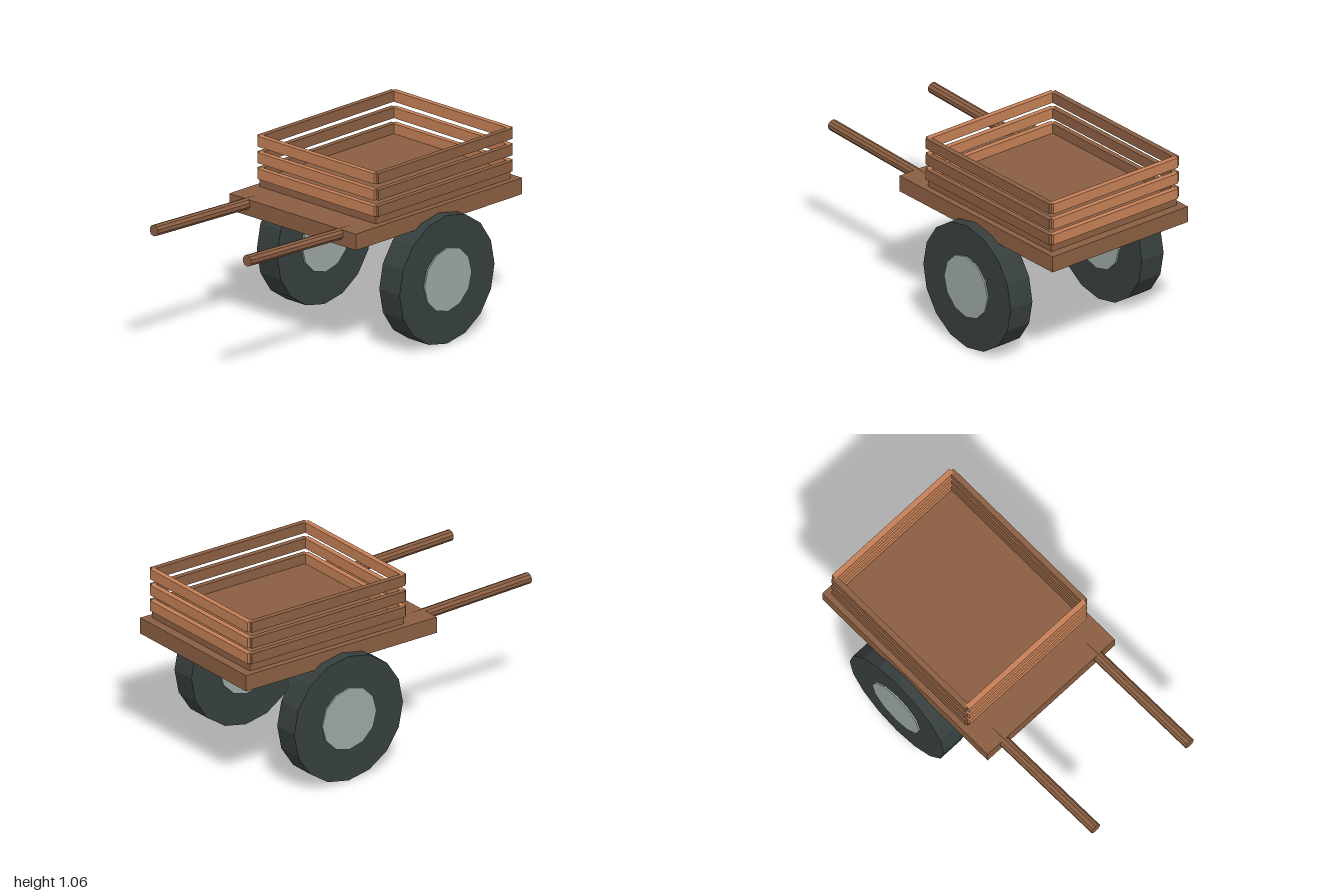
import * as THREE from 'three';

export function createModel() {
  const root = new THREE.Group();
  root.name = 'handcart';

  const material = (name, color) => {
    const m = new THREE.MeshStandardMaterial({ color, flatShading: true });
    m.name = name;
    return m;
  };
  const wood = material('brown wood', 0x8a5e42);
  const lightWood = material('light wood', 0xc47f56);
  const rubber = material('dark rubber', 0x363f3e);
  const metal = material('grey metal', 0x9aa6a3);

  const add = (name, geometry, mat, x, y, z) => {
    const mesh = new THREE.Mesh(geometry, mat);
    mesh.name = name;
    mesh.position.set(x, y, z);
    root.add(mesh);
    return mesh;
  };
  // Box given by its lower and upper limits
  const box = (name, mat, x0, x1, y0, y1, z0, z1) =>
    add(name, new THREE.BoxGeometry(x1 - x0, y1 - y0, z1 - z0), mat,
      (x0 + x1) / 2, (y0 + y1) / 2, (z0 + z1) / 2);

  // Deck and raised floor
  box('deck', wood, -0.477, 0.477, 0.68, 0.773, -1, 0.287);
  box('raisedFloor', wood, -0.44, 0.44, 0.773, 0.822, -0.947, 0.092);

  // Three rows of slats around the load
  for (const y of [0.819, 0.911, 1.005]) {
    const top = y + 0.06;
    box('frontSlat', lightWood, -0.44, 0.44, y, top, 0.076, 0.108);
    box('backSlat', lightWood, -0.44, 0.44, y, top, -0.963, -0.931);
    for (const s of [-1, 1]) {
      box('sideSlat', wood, s * 0.441 - 0.016, s * 0.441 + 0.016, y, top, -0.947, 0.092);
    }
  }

  const handleStart = new THREE.Vector3(0, 0.741, 0.18);
  const handleEnd = new THREE.Vector3(0, 0.769, 0.999);
  const handleDir = handleEnd.clone().sub(handleStart);
  const handleMid = handleStart.clone().add(handleEnd).multiplyScalar(0.5);

  for (const s of [-1, 1]) {
    // Wheel with a hub showing on both faces
    const tyre = add('tyre', new THREE.CylinderGeometry(0.367, 0.367, 0.153, 16), rubber,
      s * 0.4625, 0.368, -0.355);
    tyre.rotation.z = Math.PI / 2;
    const hub = add('hub', new THREE.CylinderGeometry(0.182, 0.182, 0.173, 12), metal,
      s * 0.4615, 0.37, -0.355);
    hub.rotation.z = Math.PI / 2;

    // Pulling handle, rising slightly to the front
    const handle = add('handle', new THREE.CylinderGeometry(0.032, 0.032, handleDir.length(), 10), wood,
      s * 0.352, handleMid.y, handleMid.z);
    handle.rotation.x = Math.atan2(handleDir.z, handleDir.y);
  }

  return root;
}
